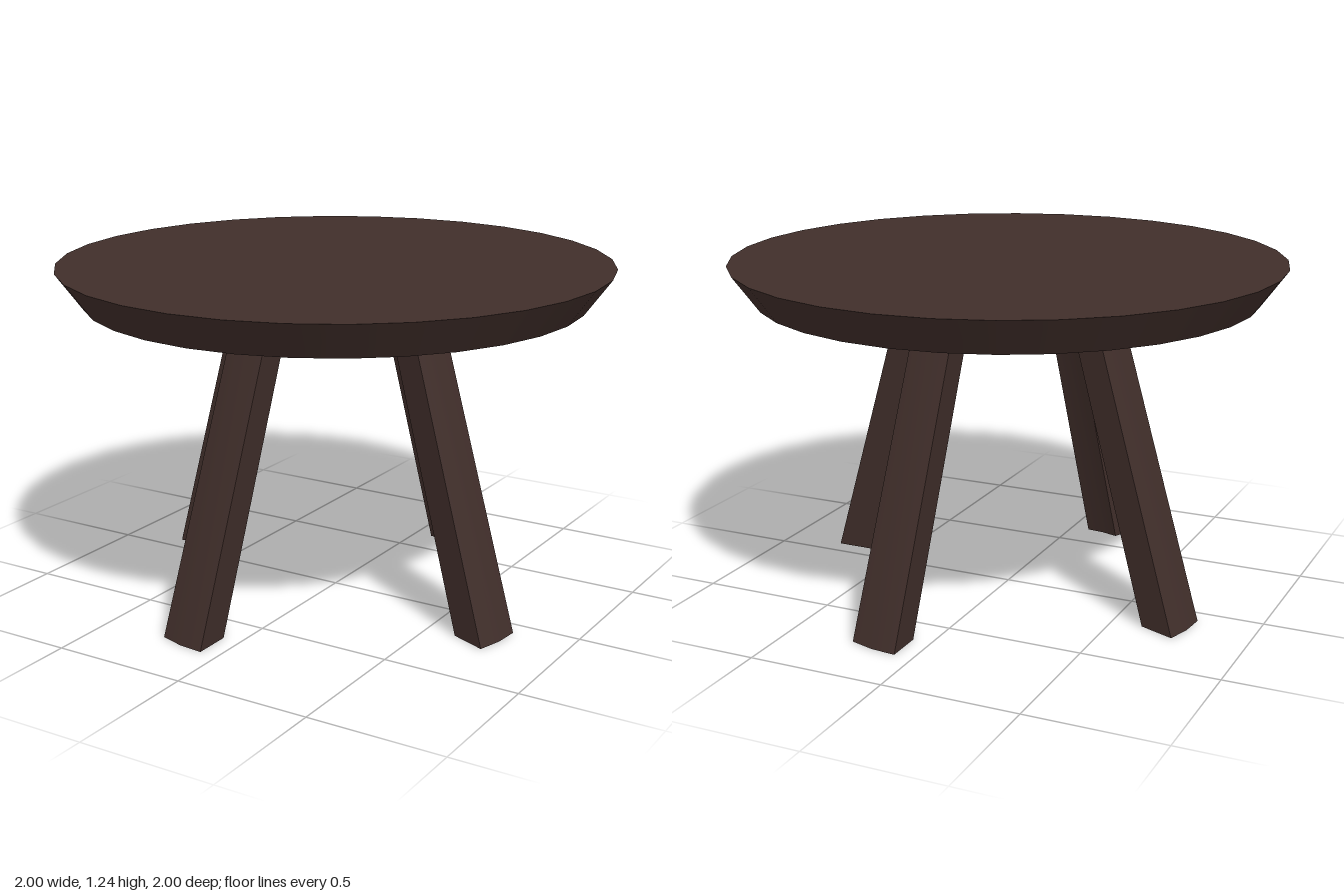
import * as THREE from 'three';
import { toCreasedNormals } from 'three/addons/utils/BufferGeometryUtils.js';

const TOP_Y = 1.24, UNDER_Y = 1.11, STEP = Math.PI / 16;

// Splayed leg: a ring-sector section under the top, enlarged and shifted outward at the floor
function legGeometry() {
  const inner = 0.305, outer = 0.43;
  const pts = [];
  const add = (r, a) => pts.push(new THREE.Vector2(r * Math.cos(a), -r * Math.sin(a)));
  for (let i = 0; i <= 2; i++) add(outer, i * STEP);
  for (let i = 2; i >= 0; i--) add(inner, i * STEP);

  const geo = new THREE.ExtrudeGeometry(new THREE.Shape(pts), { depth: UNDER_Y, bevelEnabled: false });
  geo.rotateX(-Math.PI / 2);

  const cx = 0.355, cz = 0.0825, grow = 1.11, shiftX = 0.339, shiftZ = 0.08;
  const pos = geo.attributes.position;
  for (let i = 0; i < pos.count; i++) {
    if (pos.getY(i) > UNDER_Y / 2) continue;
    pos.setX(i, cx + (pos.getX(i) - cx) * grow + shiftX);
    pos.setZ(i, cz + (pos.getZ(i) - cz) * grow + shiftZ);
  }
  return toCreasedNormals(geo, Math.PI / 6);
}

export function createModel() {
  const group = new THREE.Group();
  group.name = 'roundTable';
  const wood = new THREE.MeshStandardMaterial({ color: 0x402e2a });

  // Round top with an undercut rim
  const height = TOP_Y - UNDER_Y;
  const top = new THREE.Mesh(new THREE.CylinderGeometry(1, 0.905, height, 32), wood);
  top.name = 'tableTop';
  top.position.y = UNDER_Y + height / 2;
  group.add(top);

  // Four legs in quarter turns
  const geo = legGeometry();
  for (let i = 0; i < 4; i++) {
    const leg = new THREE.Mesh(geo, wood);
    leg.name = `leg${i + 1}`;
    leg.rotation.y = i * Math.PI / 2;
    group.add(leg);
  }
  return group;
}
